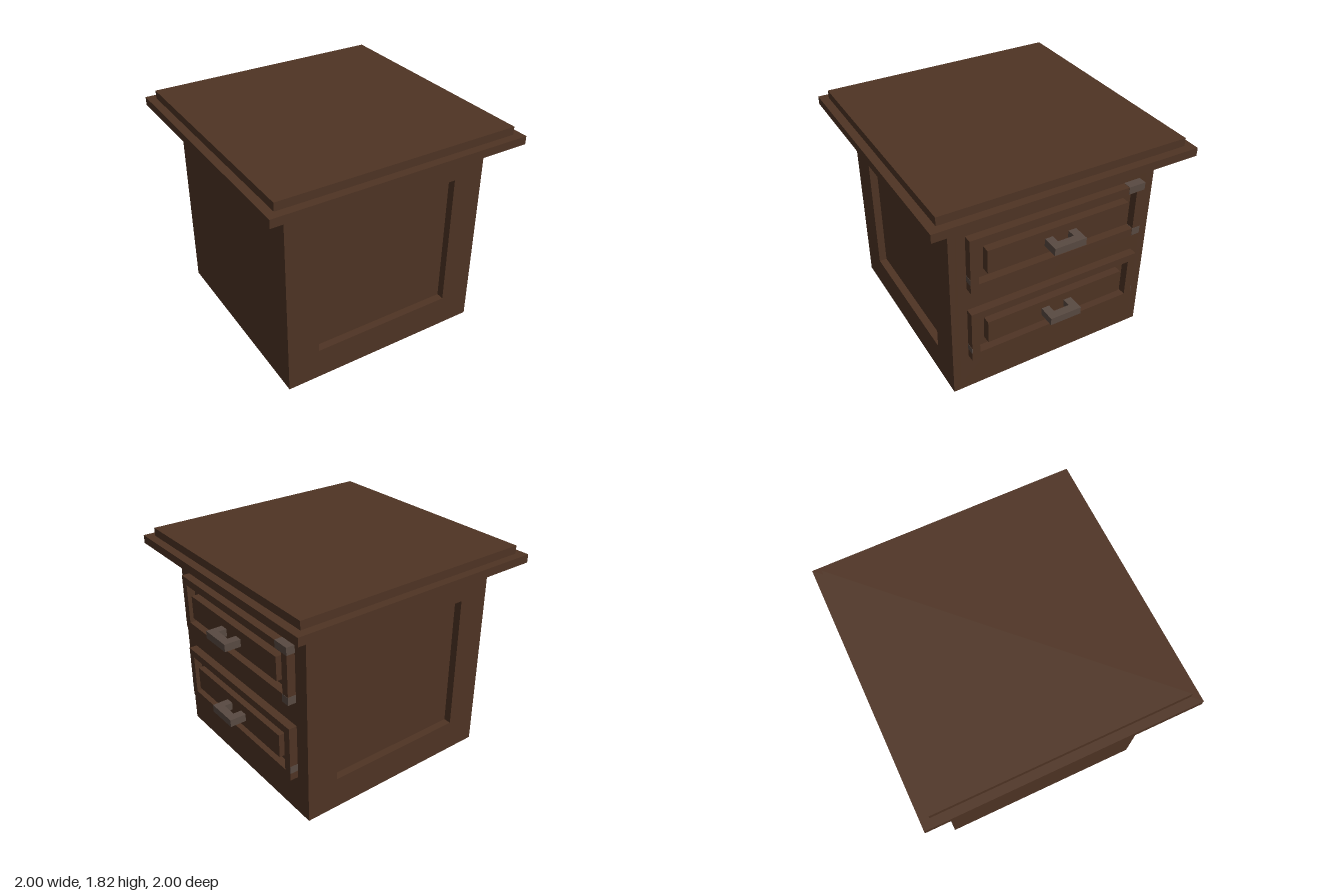
import * as THREE from 'three';

const wood = new THREE.MeshStandardMaterial({ color: 0x4f3424 });
wood.name = 'dark wood';
const metal = new THREE.MeshStandardMaterial({ color: 0x594a42 });
metal.name = 'grey metal';

// Box given by its minimum and maximum corners
function block(parent, name, material, [x0, y0, z0], [x1, y1, z1]) {
  const mesh = new THREE.Mesh(new THREE.BoxGeometry(x1 - x0, y1 - y0, z1 - z0), material);
  mesh.position.set((x0 + x1) / 2, (y0 + y1) / 2, (z0 + z1) / 2);
  mesh.name = name;
  parent.add(mesh);
  return mesh;
}

// Rectangular frame in the xy plane, extruded towards +z
function frame(name, outer, inner, depth) {
  const corners = ([hw, y0, y1]) => [[-hw, y0], [hw, y0], [hw, y1], [-hw, y1]].map(p => new THREE.Vector2(...p));
  const shape = new THREE.Shape(corners(outer));
  shape.holes.push(new THREE.Path(corners(inner).reverse()));
  const mesh = new THREE.Mesh(new THREE.ExtrudeGeometry(shape, { depth, bevelEnabled: false }), wood);
  mesh.name = name;
  return mesh;
}

// Drawer front on the +x face: raised border, raised panel and a bracket handle
function makeDrawer(name, y) {
  const drawer = new THREE.Group();
  drawer.name = name;
  const border = frame('drawerBorder', [0.687, -0.217, 0.217], [0.625, -0.157, 0.157], 0.063);
  border.rotation.y = Math.PI / 2;
  border.position.x = 0.81;
  drawer.add(border);
  block(drawer, 'drawerPanel', wood, [0.81, -0.093, -0.56], [0.873, 0.093, 0.56]);
  block(drawer, 'handleBar', metal, [0.937, -0.029, -0.125], [1, 0.029, 0.125]);
  for (const s of [-1, 1]) {
    const post = block(drawer, 'handlePost', metal, [0.873, -0.029, 0.0625], [0.937, 0.029, 0.125]);
    post.position.z *= s;
  }
  // Grey inlay on the near end of the border
  block(drawer, 'borderInlay', metal, [0.81, -0.147, 0.684], [0.873, -0.1, 0.689]);
  drawer.position.y = y;
  return drawer;
}

export function createModel() {
  const model = new THREE.Group();
  model.name = 'bedsideCabinet';

  // Stepped top
  block(model, 'topLower', wood, [-1, 1.69, -1], [1, 1.753, 1]);
  block(model, 'topUpper', wood, [-0.937, 1.753, -0.937], [0.937, 1.815, 0.937]);

  // Cabinet core with framed, recessed panels at front and back
  block(model, 'cabinetBody', wood, [-0.81, 0.19, -0.75], [0.81, 1.69, 0.75]);
  for (const s of [1, -1]) {
    const panel = frame(s > 0 ? 'frontFrame' : 'backFrame', [0.81, 0.127, 1.69], [0.562, 0.377, 1.44], 0.06);
    panel.position.z = s * 0.75;
    panel.rotation.y = s > 0 ? 0 : Math.PI;
    model.add(panel);

    // Side skirts below the raised floor
    const skirt = block(model, 'sideSkirt', wood, [0.75, 0.127, -0.75], [0.81, 0.19, 0.75]);
    skirt.position.x *= s;

    // Legs
    for (const t of [1, -1]) {
      const leg = block(model, 'leg', wood, [0.562, 0, 0.562], [0.687, 0.19, 0.687]);
      leg.position.x *= s;
      leg.position.z *= t;
    }
  }

  // Drawers
  const upper = makeDrawer('upperDrawer', 1.283);
  const lower = makeDrawer('lowerDrawer', 0.658);
  model.add(upper, lower);

  // Grey corner inlays on the far end of the borders
  block(upper, 'topCornerInlay', metal, [0.81, 0.16, -0.689], [0.875, 0.219, -0.555]);
  block(upper, 'bottomCornerInlay', metal, [0.81, -0.217, -0.689], [0.875, -0.156, -0.622]);
  block(lower, 'endInlay', metal, [0.81, -0.157, -0.689], [0.873, -0.1, -0.684]);

  return model;
}
